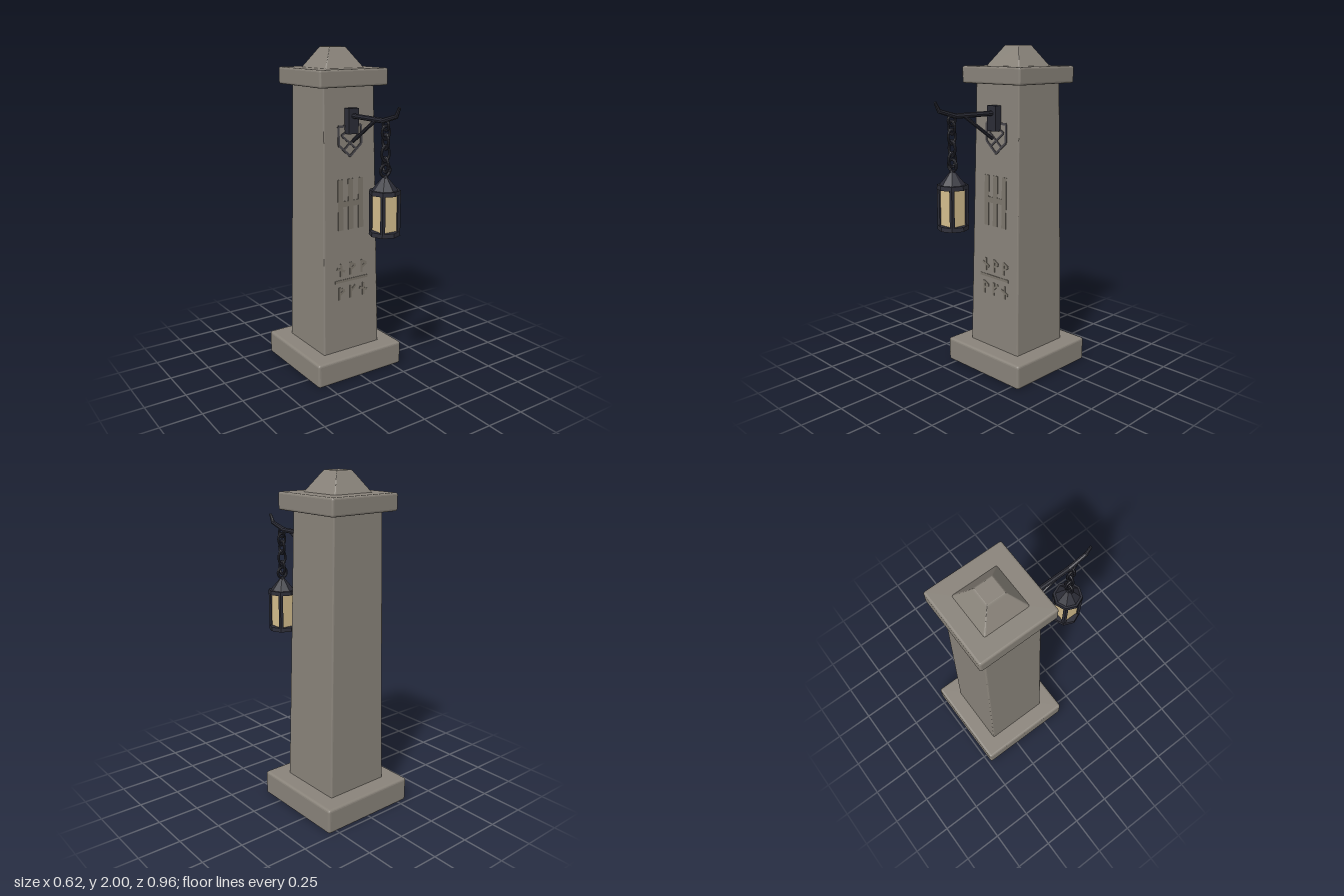
import * as THREE from 'three';
import { RoundedBoxGeometry } from 'three/addons/geometries/RoundedBoxGeometry.js';

const material = (name, color, flatShading = false) => {
  const m = new THREE.MeshStandardMaterial({ color, flatShading });
  m.name = name;
  return m;
};

export function createModel() {
  const stone = material('stone', 0x89837a, true);
  const carved = material('carved stone', 0x7c766c);
  const dark = material('dark carving', 0x47454a);
  const iron = material('iron', 0x2b2c36, true);
  const glass = material('lantern glass', 0xd6bf8e);

  const model = new THREE.Group();
  model.name = 'lanternPillar';

  const add = (parent, name, geometry, mat, x = 0, y = 0, z = 0) => {
    const mesh = new THREE.Mesh(geometry, mat);
    mesh.name = name;
    mesh.position.set(x, y, z);
    parent.add(mesh);
    return mesh;
  };

  // Round bar between two points
  const bar = (parent, name, a, b, r1, r2 = r1) => {
    const from = new THREE.Vector3(...a), to = new THREE.Vector3(...b);
    const dir = to.clone().sub(from);
    const mesh = add(parent, name, new THREE.CylinderGeometry(r2, r1, dir.length(), 8), iron);
    mesh.position.copy(from).lerp(to, 0.5);
    mesh.quaternion.setFromUnitVectors(new THREE.Vector3(0, 1, 0), dir.normalize());
    return mesh;
  };

  // Bevelled square block that narrows from bottom to top
  const block = (name, y0, y1, bottom, top, bevel) => {
    const h = y1 - y0;
    const g = new RoundedBoxGeometry(bottom * 2, h, bottom * 2, 2, bevel);
    const p = g.attributes.position;
    for (let i = 0; i < p.count; i++) {
      const s = THREE.MathUtils.lerp(1, top / bottom, p.getY(i) / h + 0.5);
      p.setX(i, p.getX(i) * s);
      p.setZ(i, p.getZ(i) * s);
    }
    g.computeVertexNormals();
    return add(pillar, name, g, stone, 0, (y0 + y1) / 2, 0);
  };

  // Stone pillar
  const pillar = new THREE.Group();
  pillar.name = 'pillar';
  pillar.position.z = -0.17;
  model.add(pillar);
  block('base', 0, 0.15, 0.31, 0.31, 0.015);
  block('column', 0.13, 1.79, 0.206, 0.176, 0.01);
  block('cap', 1.78, 1.88, 0.236, 0.236, 0.012);
  block('peak', 1.865, 2, 0.145, 0.055, 0.01);

  // Carvings lie on the leaning front face of the column
  const carvings = new THREE.Group();
  carvings.name = 'carvings';
  carvings.position.set(0, 0, 0.0382);
  carvings.rotation.x = -Math.atan(0.03 / 1.66);
  model.add(carvings);
  const stroke = (name, x1, y1, x2, y2, w, mat) => {
    const g = new THREE.BoxGeometry(w, Math.hypot(x2 - x1, y2 - y1), 0.008);
    const mesh = add(carvings, name, g, mat, (x1 + x2) / 2, (y1 + y2) / 2, 0);
    mesh.rotation.z = -Math.atan2(x2 - x1, y2 - y1);
  };

  // Shield outline with crossed strokes
  const shield = [[-0.08, 1.553], [0.08, 1.553], [0.08, 1.445], [0, 1.375], [-0.08, 1.445]];
  shield.forEach(([x, y], i) => {
    const [x2, y2] = shield[(i + 1) % shield.length];
    stroke('shieldEdge', x, y, x2, y2, 0.014, dark);
  });
  for (const s of [-1, 1]) {
    stroke('shieldCross', s * 0.06, 1.50, -s * 0.045, 1.415, 0.012, dark);
    stroke('shieldChevron', 0, 1.535, s * 0.06, 1.50, 0.012, dark);
  }

  // Three tall grooves joined by a crossbar
  for (const x of [-0.073, 0, 0.073]) stroke('tallGroove', x, 0.93, x, 1.24, 0.036, carved);
  stroke('grooveCrossbar', -0.07, 1.09, 0.07, 1.09, 0.035, carved);

  // Two rows of small notched marks around a dividing line
  stroke('divider', -0.12, 0.608, 0.12, 0.608, 0.017, carved);
  const flag = [[-0.012, -0.04, -0.012, 0.04], [-0.012, 0.035, 0.024, 0.015], [0.024, 0.015, -0.012, -0.008]];
  const tick = [[0, -0.04, 0, 0.04], [-0.028, 0.012, 0.028, -0.012]];
  const fork = [[-0.012, -0.04, -0.012, 0.04], [-0.012, 0, 0.024, 0.034]];
  const rows = [[0.68, [tick, flag, flag]], [0.53, [flag, fork, tick]]];
  for (const [y, marks] of rows) {
    marks.forEach((mark, i) => {
      const x = -0.075 + i * 0.082;
      for (const [a, b, c, d] of mark) stroke('notch', x + a, y + b, x + c, y + d, 0.015, carved);
    });
  }

  // Iron bracket
  const bracket = new THREE.Group();
  bracket.name = 'bracket';
  model.add(bracket);
  add(bracket, 'wallPlate', new THREE.BoxGeometry(0.07, 0.148, 0.045), iron, 0, 1.584, 0.03);
  bar(bracket, 'arm', [0, 1.614, 0.04], [0, 1.616, 0.335], 0.015);
  bar(bracket, 'armBend', [0, 1.614, 0.325], [0, 1.65, 0.448], 0.015, 0.012);
  bar(bracket, 'armTip', [0, 1.645, 0.444], [0, 1.70, 0.474], 0.012, 0.008);
  bar(bracket, 'brace', [0, 1.61, 0.26], [0, 1.467, 0.045], 0.011);

  // Chain and lantern hang from the arm
  const hanging = new THREE.Group();
  hanging.name = 'hangingLantern';
  hanging.position.z = 0.358;
  model.add(hanging);
  const links = [
    // height, half width, half height, turned sideways
    [1.593, 0.026, 0.027, true], [1.555, 0.026, 0.036, false], [1.505, 0.026, 0.04, true],
    [1.44, 0.026, 0.042, false], [1.376, 0.026, 0.04, true], [1.345, 0.033, 0.033, false],
  ];
  for (const [y, w, h, sideways] of links) {
    const g = new THREE.TorusGeometry(1, 0.26, 8, 16);
    g.scale(w, h, 0.03);
    const link = add(hanging, 'chainLink', g, iron, 0, y, 0);
    if (sideways) link.rotation.y = Math.PI / 2;
  }

  const disc = (name, r1, r2, y0, y1) =>
    add(hanging, name, new THREE.CylinderGeometry(r2, r1, y1 - y0, 8), iron, 0, (y0 + y1) / 2, 0);
  disc('lanternFloor', 0.09, 0.088, 0.977, 1.002);
  disc('lanternRim', 0.09, 0.088, 1.212, 1.237);
  disc('lanternRoof', 0.076, 0.018, 1.235, 1.305);
  disc('lanternKnob', 0.018, 0.012, 1.3, 1.318);

  // Glass body with corner posts
  add(hanging, 'lanternGlass', new THREE.BoxGeometry(0.108, 0.22, 0.108), glass, 0, 1.107, 0);
  for (const x of [-1, 1]) for (const z of [-1, 1]) {
    add(hanging, 'lanternPost', new THREE.BoxGeometry(0.02, 0.22, 0.02), iron, x * 0.053, 1.107, z * 0.053);
  }

  return model;
}
